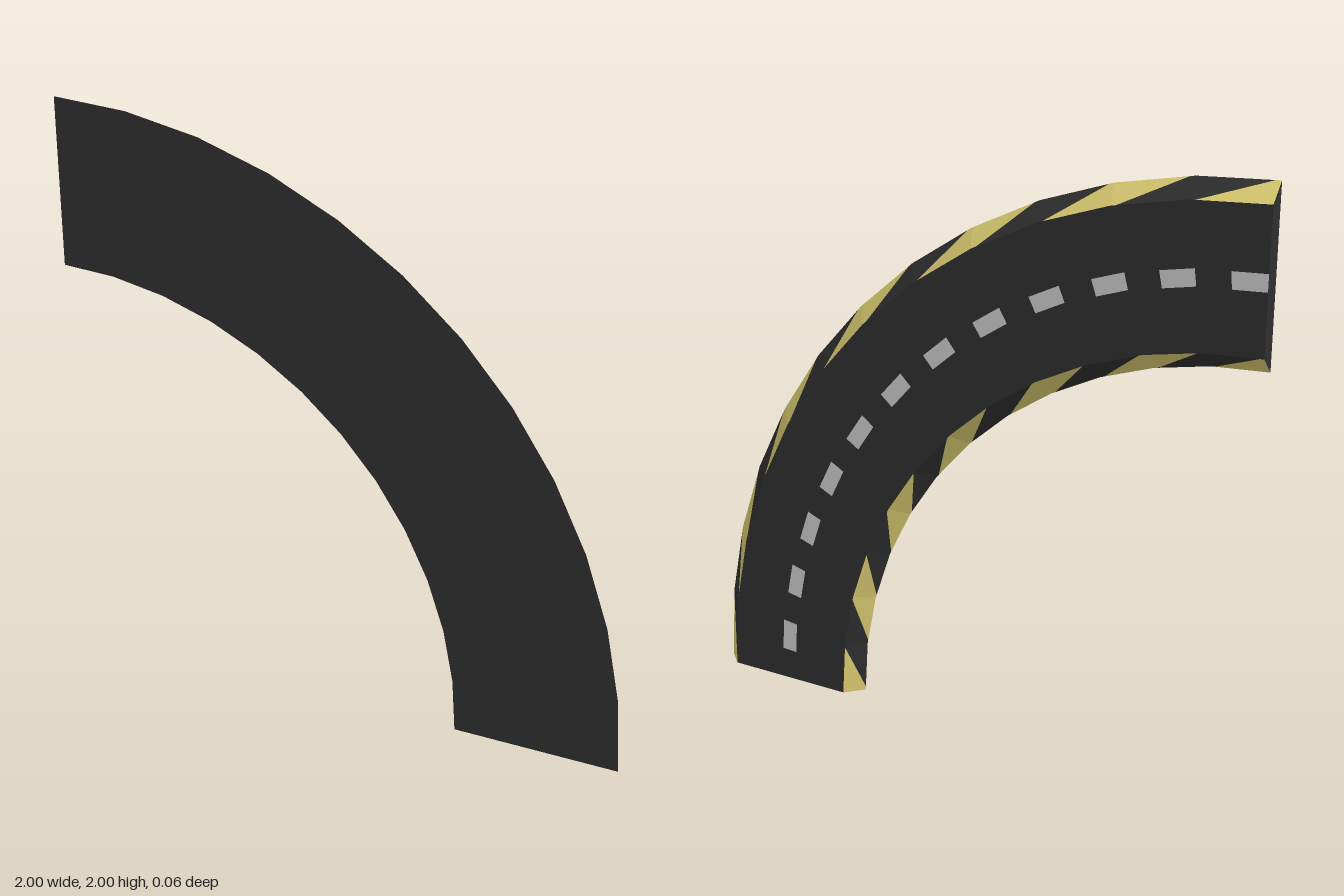
import * as THREE from 'three';

const SEGMENTS = 12;
const STEP = Math.PI / 2 / SEGMENTS;
const UNIT = 2 / 35;                        // plate thickness, also the bevel width
const OUTER = 2, INNER = 25 * UNIT;         // radii of the wide front face
const FRONT = UNIT / 2, BACK = -UNIT / 2;   // z of the two faces
const ROAD_OUTER = OUTER - UNIT, ROAD_INNER = INNER + UNIT;

// Point on straight facet i, at fraction u along it
function at(i, u, r, z) {
  const a = i * STEP, b = a + STEP;
  return [
    -1 + r * THREE.MathUtils.lerp(Math.cos(a), Math.cos(b), u),
    r * THREE.MathUtils.lerp(Math.sin(a), Math.sin(b), u),
    z,
  ];
}

// Flat-shaded mesh from a list of four-cornered faces
function quadMesh(name, quads, material) {
  const positions = [];
  for (const [a, b, c, d] of quads) positions.push(...a, ...b, ...c, ...a, ...c, ...d);
  const geometry = new THREE.BufferGeometry();
  geometry.setAttribute('position', new THREE.Float32BufferAttribute(positions, 3));
  geometry.computeVertexNormals();
  const mesh = new THREE.Mesh(geometry, material);
  mesh.name = name;
  return mesh;
}

// Ring section facing +z, or -z when flipped
function ringQuad(i, u0, u1, r0, r1, z, flip) {
  const quad = [at(i, u0, r0, z), at(i, u0, r1, z), at(i, u1, r1, z), at(i, u1, r0, z)];
  return flip ? quad.reverse() : quad;
}

// Bevelled edge: each facet is cut by one diagonal into a yellow and a dark part
function bevelStripes(rFront, rBack, cutFront, cutBack, flip) {
  const yellow = [], dark = [];
  for (let i = 0; i < SEGMENTS; i++) {
    const f = (u) => at(i, u, rFront, FRONT);
    const b = (u) => at(i, u, rBack, BACK);
    const lower = [f(0), b(0), b(cutBack), f(cutFront)];
    const upper = [f(cutFront), b(cutBack), b(1), f(1)];
    if (flip) { lower.reverse(); upper.reverse(); }
    (i % 2 ? dark : yellow).push(lower);
    (i % 2 ? yellow : dark).push(upper);
  }
  return { yellow, dark };
}

// End face across the section
function endCap(i, u) {
  return [at(i, u, INNER, FRONT), at(i, u, ROAD_INNER, BACK),
    at(i, u, ROAD_OUTER, BACK), at(i, u, OUTER, FRONT)];
}

export function createModel() {
  const asphalt = new THREE.MeshStandardMaterial({ color: 0x2f2f2f });
  asphalt.name = 'asphalt';
  const yellow = new THREE.MeshStandardMaterial({ color: 0xdccd72 });
  yellow.name = 'hazardYellow';
  const white = new THREE.MeshStandardMaterial({ color: 0xcacaca });
  white.name = 'lineWhite';

  const group = new THREE.Group();
  group.name = 'curvedRoad';

  // Plain underside, road surface and centre dashes, one of each per facet
  const under = [], road = [], dashes = [];
  const middle = (OUTER + INNER) / 2, half = UNIT * 0.48;
  for (let i = 0; i < SEGMENTS; i++) {
    under.push(ringQuad(i, 0, 1, INNER, OUTER, FRONT, false));
    road.push(ringQuad(i, 0, 1, ROAD_INNER, ROAD_OUTER, BACK, true));
    dashes.push(ringQuad(i, 0.5, 1, middle - half, middle + half, BACK - 0.002, true));
  }
  group.add(quadMesh('underside', under, asphalt));
  group.add(quadMesh('roadSurface', road, asphalt));
  group.add(quadMesh('centreDashes', dashes, white));

  // Striped bevels; the inner one is the outer one turned half round
  const outer = bevelStripes(OUTER, ROAD_OUTER, 0.93, 0.07, false);
  const inner = bevelStripes(INNER, ROAD_INNER, 0.07, 0.93, true);
  group.add(quadMesh('outerYellowStripes', outer.yellow, yellow));
  group.add(quadMesh('outerDarkStripes', outer.dark, asphalt));
  group.add(quadMesh('innerYellowStripes', inner.yellow, yellow));
  group.add(quadMesh('innerDarkStripes', inner.dark, asphalt));

  // Both ends
  group.add(quadMesh('endFaces', [endCap(0, 0), endCap(SEGMENTS - 1, 1).reverse()], asphalt));
  return group;
}
